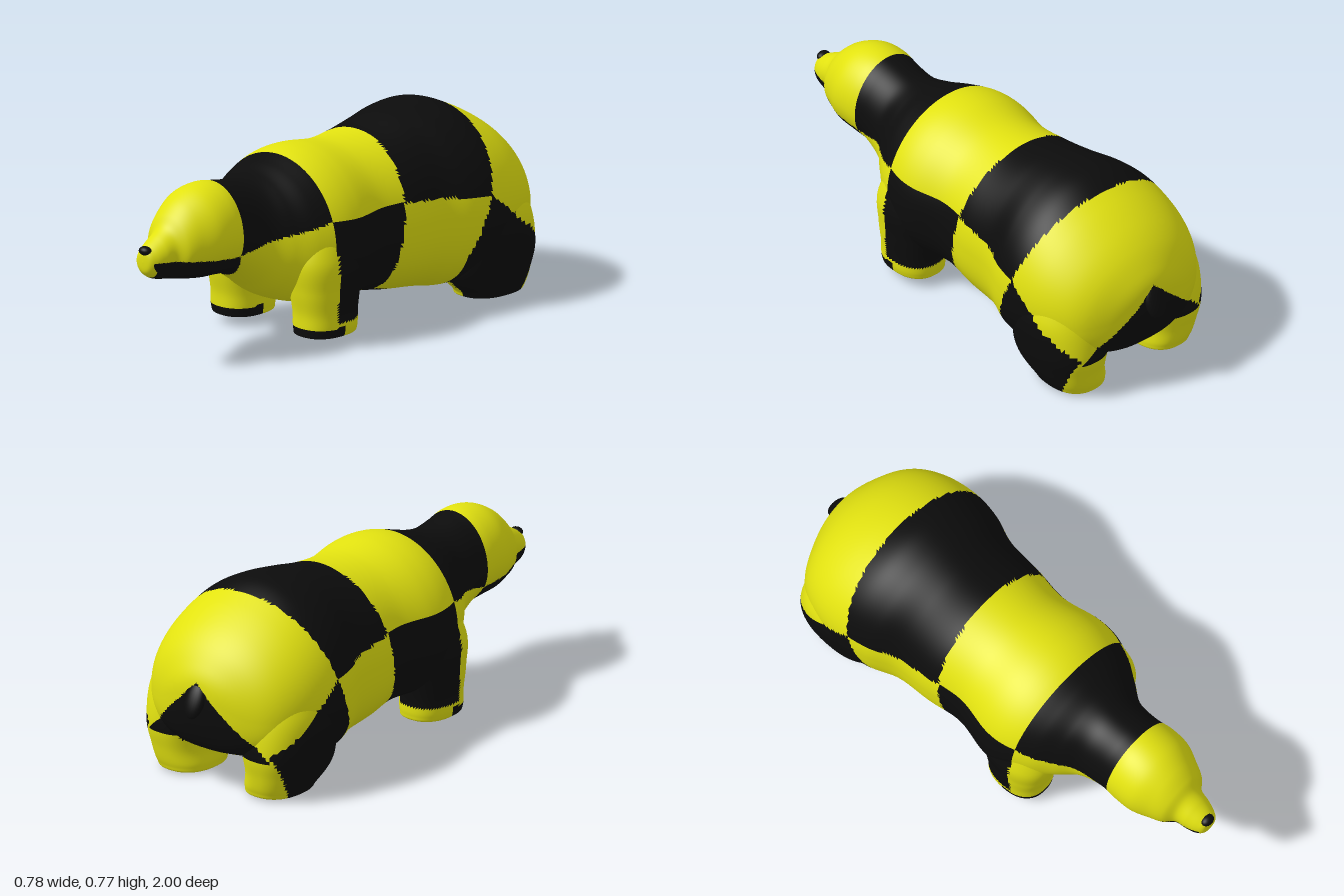
import * as THREE from 'three';

const yellow = new THREE.MeshStandardMaterial({ color: 0xe2e210 });
yellow.name = 'yellow';
const black = new THREE.MeshStandardMaterial({ color: 0x0c0c0c });
black.name = 'black';

// body sections from nose to rump: z, half width, height of widest point, top, bottom
const BODY = [
  [0.99, 0, 0.44, 0.44, 0.44], [0.985, 0.035, 0.44, 0.48, 0.4], [0.96, 0.055, 0.44, 0.5, 0.375],
  [0.92, 0.068, 0.45, 0.525, 0.36], [0.875, 0.078, 0.46, 0.555, 0.352], [0.84, 0.115, 0.47, 0.6, 0.345],
  [0.79, 0.14, 0.48, 0.645, 0.335], [0.72, 0.168, 0.49, 0.68, 0.325], [0.64, 0.172, 0.49, 0.69, 0.32],
  [0.56, 0.165, 0.47, 0.677, 0.305], [0.46, 0.18, 0.43, 0.662, 0.245], [0.38, 0.235, 0.41, 0.67, 0.19],
  [0.3, 0.29, 0.4, 0.695, 0.15], [0.2, 0.33, 0.38, 0.725, 0.13], [0.1, 0.335, 0.37, 0.73, 0.12],
  [-0.05, 0.305, 0.38, 0.712, 0.115], [-0.2, 0.322, 0.38, 0.72, 0.09], [-0.35, 0.332, 0.38, 0.752, 0.07],
  [-0.47, 0.375, 0.37, 0.768, 0.055], [-0.58, 0.392, 0.36, 0.765, 0.08], [-0.7, 0.38, 0.36, 0.715, 0.12],
  [-0.8, 0.345, 0.35, 0.655, 0.14], [-0.87, 0.29, 0.34, 0.595, 0.16], [-0.92, 0.2, 0.35, 0.53, 0.19],
  [-0.95, 0.1, 0.39, 0.47, 0.28], [-0.96, 0, 0.4, 0.4, 0.4],
];

// leg sections from sole to hip: y, centre x, radius x, centre z, radius z
const FORELEG = [
  [0.032, 0.215, 0, 0.2, 0], [0.035, 0.215, 0.09, 0.2, 0.11], [0.06, 0.218, 0.107, 0.2, 0.128],
  [0.13, 0.218, 0.11, 0.2, 0.13], [0.22, 0.215, 0.118, 0.2, 0.145], [0.35, 0.2, 0.135, 0.19, 0.165],
  [0.5, 0.14, 0.13, 0.18, 0.12], [0.55, 0.12, 0, 0.18, 0],
];
const HINDLEG = [
  [0, 0.215, 0, -0.7, 0], [0.004, 0.215, 0.098, -0.71, 0.125], [0.03, 0.22, 0.118, -0.71, 0.15],
  [0.1, 0.235, 0.13, -0.68, 0.195], [0.2, 0.235, 0.15, -0.68, 0.21], [0.35, 0.2, 0.185, -0.66, 0.21],
  [0.5, 0.14, 0.16, -0.65, 0.16], [0.58, 0.1, 0, -0.65, 0],
];

// piecewise linear lookup over pairs with falling keys
function lookup(pairs, k) {
  for (let i = 1; i < pairs.length; i++) {
    const [k0, v0] = pairs[i - 1], [k1, v1] = pairs[i];
    if (k >= k1) return THREE.MathUtils.lerp(v0, v1, THREE.MathUtils.clamp((k0 - k) / (k0 - k1), 0, 1));
  }
  return pairs[pairs.length - 1][1];
}

const SIDE_LINE = [[0.95, 0.44], [0.6, 0.41], [0.24, 0.5], [-0.16, 0.49], [-0.56, 0.45]];
const BELLY_LINE = [[0.05, 0.145], [-0.08, 0.145], [-0.28, 0.085], [-0.46, 0.062]];
const HIP_LINE = [[0.77, -0.66], [0.45, -0.56], [0.22, -0.46], [0, -0.46]];

// the warped checker pattern: true where the coat is black
function isBlack(x, y, z) {
  x = Math.abs(x);
  if (z > 0.6 - Math.max(0, 0.41 - y) * 0.5) // head and chin
    return y < lookup(SIDE_LINE, z) && !(z > 0.955 && x < 0.046);
  if (z < lookup(HIP_LINE, y)) { // hindquarters
    if (z < -0.82 && y > 0.17 && y < 0.46 - 0.95 * x) return true;
    if (x < 0.22 && y < 0.15) return false;
    return y < 0.45 + (z + 0.56) * 0.78 && z > -0.88 + (0.2 - y) * 0.5;
  }
  const upper = y > lookup(SIDE_LINE, z);
  const slant = -0.16 - (y - 0.49) * 0.17;
  if (z > 0.24) return upper || y < 0.075; // chest, neck and toes
  if (z > slant && y > 0.15) return !upper && !(x < 0.14 && y < 0.25 && z > 0);
  if (z > 0.05) return y < 0.08 ? z > 0.2 : y > 0.095 && x > 0.15;
  if (y < lookup(BELLY_LINE, z)) return z < -0.05;
  return z > slant ? !upper : upper;
}

// smooth values between rows
function sample(rows, t) {
  const i = Math.min(Math.floor(t), rows.length - 2), f = t - i;
  const at = (k) => rows[THREE.MathUtils.clamp(k, 0, rows.length - 1)];
  return rows[i].map((_, c) => {
    const [a, b, d, e] = [at(i - 1)[c], at(i)[c], at(i + 1)[c], at(i + 2)[c]];
    return b + 0.5 * f * (d - a + f * (2 * a - 5 * b + 4 * d - e + f * (3 * (b - d) + e - a)));
  });
}

// skin the rows with rings, then sort the faces by colour
function loft(name, rows, steps, sides, point) {
  const n = (rows.length - 1) * steps, pos = [], lists = [[], []];
  for (let i = 0; i <= n; i++) {
    const row = sample(rows, i / steps);
    for (let j = 0; j < sides; j++) pos.push(...point(row, (j / sides) * Math.PI * 2));
  }
  const add = (...tri) => {
    const mid = [0, 1, 2].map((c) => tri.reduce((s, v) => s + pos[v * 3 + c], 0) / 3);
    lists[isBlack(...mid) ? 1 : 0].push(...tri);
  };
  for (let i = 0; i < n; i++) {
    for (let j = 0; j < sides; j++) {
      const k = (j + 1) % sides;
      const a = i * sides + j, b = a + sides, c = i * sides + k, d = c + sides;
      if (i > 0) add(a, b, c);
      if (i < n - 1) add(b, d, c);
    }
  }
  const geo = new THREE.BufferGeometry();
  geo.setAttribute('position', new THREE.Float32BufferAttribute(pos, 3));
  geo.setIndex([...lists[0], ...lists[1]]);
  geo.addGroup(0, lists[0].length, 0);
  geo.addGroup(lists[0].length, lists[1].length, 1);
  geo.computeVertexNormals();
  const mesh = new THREE.Mesh(geo, [yellow, black]);
  mesh.name = name;
  return mesh;
}

const power = (v, p) => Math.sign(v) * Math.abs(v) ** p;

function bodyPoint([z, w, mid, top, bottom], a) {
  const c = Math.cos(a), s = Math.sin(a);
  if (s >= 0) return [w * c, mid + (top - mid) * s, z];
  // fuller belly than throat
  const p = THREE.MathUtils.lerp(0.75, 1, THREE.MathUtils.smoothstep(z, 0.2, 0.45));
  return [w * power(c, p), mid + (mid - bottom) * power(s, p), z];
}

function ellipsoid(name, material, position, scale, tilt = 0) {
  const mesh = new THREE.Mesh(new THREE.SphereGeometry(1, 24, 16), material);
  mesh.name = name;
  mesh.position.set(...position);
  mesh.scale.set(...scale);
  mesh.rotation.x = tilt;
  return mesh;
}

export function createModel() {
  const bear = new THREE.Group();
  bear.name = 'bear';
  bear.add(loft('bodyAndHead', BODY, 10, 144, bodyPoint));

  // legs and closed eyelids, mirrored
  for (const [side, m] of [['left', 1], ['right', -1]]) {
    const legPoint = ([y, cx, rx, cz, rz], a) =>
      [m * cx + rx * power(Math.cos(a), 0.85), y, cz + rz * power(Math.sin(a), 0.85)];
    bear.add(loft(side + 'Foreleg', FORELEG, 8, 64, legPoint));
    bear.add(loft(side + 'HindLeg', HINDLEG, 8, 64, legPoint));
    bear.add(ellipsoid(side + 'Eyelid', yellow, [m * 0.068, 0.535, 0.845], [0.018, 0.01, 0.012]));
  }

  bear.add(ellipsoid('nose', black, [0, 0.484, 0.976], [0.028, 0.018, 0.022]));
  bear.add(ellipsoid('tail', black, [0, 0.39, -0.962], [0.045, 0.075, 0.024], 0.4));
  return bear;
}
